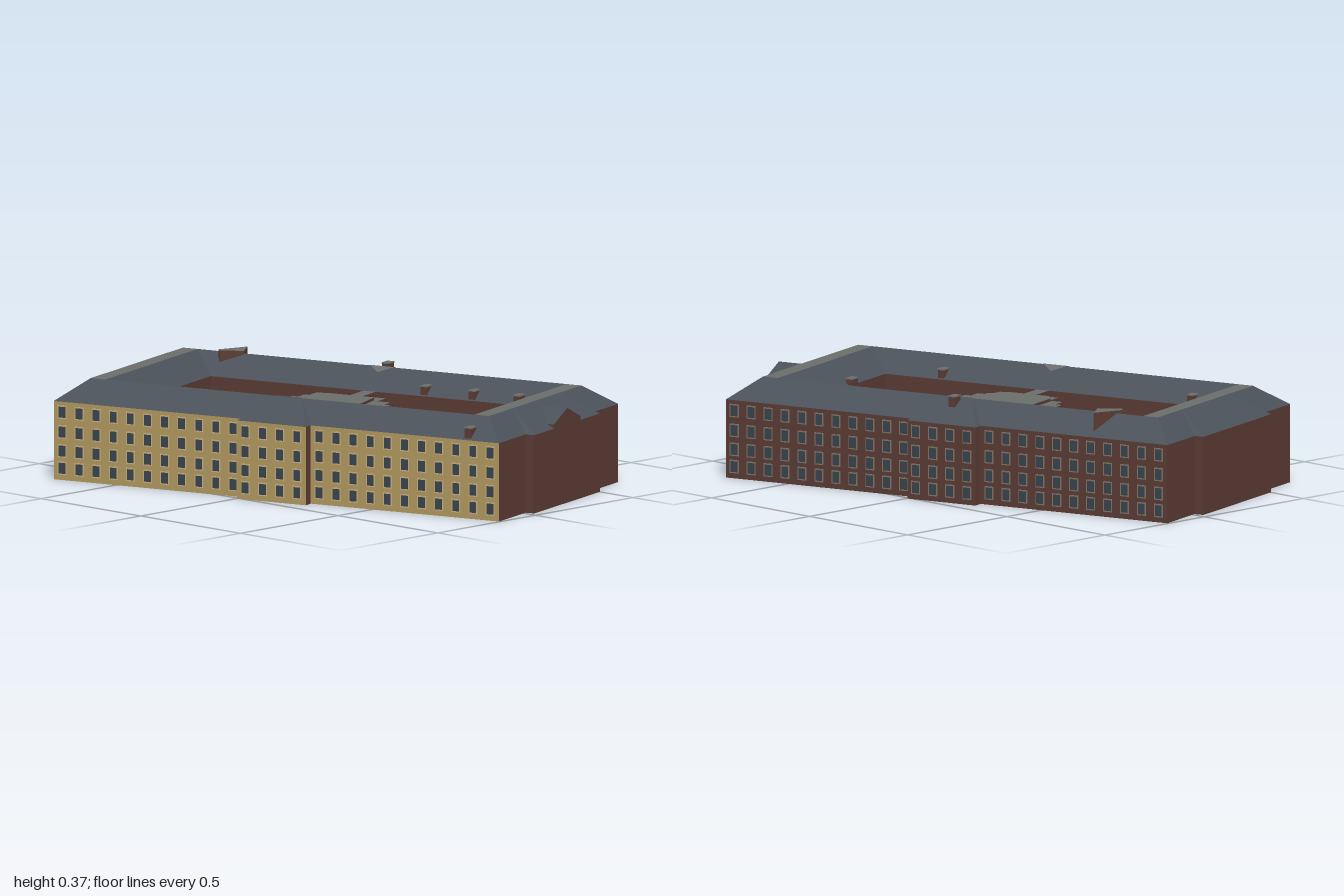
import * as THREE from 'three';
import { mergeGeometries } from 'three/addons/utils/BufferGeometryUtils.js';

const mat = (color) => new THREE.MeshStandardMaterial({ color, side: THREE.DoubleSide, flatShading: true });
const BRICK = mat(0x5a3a32), CREAM = mat(0xb0965f), SLATE = mat(0x4a5159), FLAT = mat(0x6b6d6b);
const PANE = mat(0x38434b), TRIM = mat(0xc4ae80), TRIM_DARK = mat(0x7d7466);

const EAVE = 0.285, RIDGE = 0.36;
const U = 0.905, V = 0.4525;       // outer footprint half sizes
const CU = 0.645, CV = 0.255;      // courtyard half sizes
const RV = 0.35, RU0 = 0.75, RU1 = 0.81; // ridge lines
const BU = 0.94, BV = 0.49;        // faces of the end and centre projections

// Flat polygons given as lists of [x, y, z] corners
function faces(polys) {
  const pos = [];
  for (const p of polys)
    for (let i = 1; i < p.length - 1; i++) pos.push(...p[0], ...p[i], ...p[i + 1]);
  const g = new THREE.BufferGeometry();
  g.setAttribute('position', new THREE.Float32BufferAttribute(pos, 3));
  g.computeVertexNormals();
  return g;
}

// Upright wall sheets along a plan path of [x, z]
function walls(path, top = EAVE, bottom = 0) {
  const polys = [];
  for (let i = 0; i < path.length - 1; i++) {
    const [a, b] = path[i], [c, d] = path[i + 1];
    polys.push([[a, bottom, b], [c, bottom, d], [c, top, d], [a, top, b]]);
  }
  return faces(polys);
}

// Horizontal cap over a plan outline
function cap(path, y) {
  const g = new THREE.ShapeGeometry(new THREE.Shape(path.map(([x, z]) => new THREE.Vector2(x, -z))));
  return g.rotateX(-Math.PI / 2).translate(0, y, 0);
}

export function createModel() {
  const model = new THREE.Group();
  const building = new THREE.Group();
  building.name = 'building';
  building.rotation.y = THREE.MathUtils.degToRad(16.2);
  model.add(building);
  const add = (name, geo, material) => {
    const m = new THREE.Mesh(geo, material);
    m.name = name;
    building.add(m);
    return m;
  };

  // Brick end walls with their shallow projections
  for (const s of [1, -1])
    add('endWall', walls([[s * U, V], [s * U, 0.25], [s * BU, 0.25], [s * BU, -0.25], [s * U, -0.25], [s * U, -V]]), BRICK);

  // Courtyard walls
  add('courtyardWall', walls([[-CU, -CV], [-CU, CV], [CU, CV], [CU, -0.16], [0.585, -CV], [-CU, -CV]]), BRICK);

  // Front and back facades with rows of windows
  for (const s of [1, -1]) {
    const label = s > 0 ? 'front' : 'back';
    const frames = [], panes = [];
    const bays = [[-U, -0.14, V, 11], [-0.14, 0.14, BV, 4], [0.14, U, V, 11]];
    for (const [u0, u1, v, n] of bays) {
      add(label + 'Wall', walls(s > 0 ? [[u0, v], [u1, v]] : [[u1, -v], [u0, -v]]), s > 0 ? CREAM : BRICK);
      for (let i = 0; i < n; i++) {
        const u = u0 + (u1 - u0) * (i + 0.5) / n;
        for (const y of [0.043, 0.106, 0.175, 0.247]) {
          frames.push(new THREE.BoxGeometry(0.036, 0.048, 0.005).translate(u, y, s * v));
          panes.push(new THREE.BoxGeometry(0.027, 0.039, 0.008).translate(u, y, s * v));
        }
      }
    }
    add(label + 'WindowFrames', mergeGeometries(frames), s > 0 ? TRIM : TRIM_DARK);
    add(label + 'Windows', mergeGeometries(panes), PANE);
    for (const t of [1, -1])
      add(label + 'ProjectionSide', walls([[t * 0.14, s * V], [t * 0.14, s * BV]]), BRICK);
  }

  // Ring of hipped roofs
  const roof = [], flats = [];
  for (const s of [1, -1]) {
    roof.push(
      [[-U, EAVE, s * V], [U, EAVE, s * V], [RU1, RIDGE, s * RV], [-RU1, RIDGE, s * RV]],
      [[-CU, EAVE, s * CV], [CU, EAVE, s * CV], [RU0, RIDGE, s * RV], [-RU0, RIDGE, s * RV]],
      [[s * U, EAVE, V], [s * U, EAVE, -V], [s * RU1, RIDGE, -RV], [s * RU1, RIDGE, RV]],
      [[s * CU, EAVE, CV], [s * CU, EAVE, -CV], [s * RU0, RIDGE, -RV], [s * RU0, RIDGE, RV]],
      // roofs over the end and centre projections
      [[s * BU, EAVE, 0.25], [s * BU, EAVE, -0.25], [s * RU1, RIDGE, -0.17], [s * RU1, RIDGE, 0.17]],
      [[-0.14, EAVE, s * BV], [0.14, EAVE, s * BV], [0.05, RIDGE + 0.002, s * 0.35], [-0.05, RIDGE + 0.002, s * 0.35]]);
    for (const t of [1, -1])
      roof.push(
        [[s * BU, EAVE, t * 0.25], [s * U, EAVE, t * 0.25], [s * RU1, RIDGE, t * 0.17]],
        [[t * 0.14, EAVE, s * BV], [t * 0.14, EAVE, s * V], [t * 0.05, RIDGE + 0.002, s * 0.35]]);
    flats.push(
      [[s * RU0, RIDGE, RV], [s * RU1, RIDGE, RV], [s * RU1, RIDGE, -RV], [s * RU0, RIDGE, -RV]],
      [[-0.05, RIDGE + 0.002, s * 0.35], [0.05, RIDGE + 0.002, s * 0.35], [0, RIDGE - 0.015, s * 0.315]]);
  }
  // corner of the courtyard roof over the splayed wall
  roof.push([[CU, EAVE, -CV], [CU, EAVE, -0.16], [0.585, EAVE, -CV]]);
  add('roof', faces(roof), SLATE);
  add('flatRoofs', faces(flats), FLAT);

  // Gable on the left end
  add('gableWall', faces([[[BU, EAVE, 0.1], [BU, EAVE, -0.1], [BU, 0.3, -0.1], [BU, 0.345, 0], [BU, 0.3, 0.1]]]), BRICK);
  for (const t of [1, -1]) {
    add('gableRoof', faces([[[BU, 0.3, t * 0.1], [BU, 0.345, 0], [0.836, 0.345, 0], [0.914, 0.3, t * 0.1]]]), SLATE);
    add('gableCheek', faces([[[BU, EAVE, t * 0.1], [BU, 0.3, t * 0.1], [0.914, 0.3, t * 0.1]]]), BRICK);
  }

  // Stepped pavilion in the courtyard with passages to both long wings
  const quarter = [[0.2, 0.04], [0.175, 0.04], [0.175, 0.09], [0.12, 0.09], [0.12, 0.155], [0.025, 0.155], [0.025, CV + 0.03]];
  const flip = (pts, sx, sz) => pts.map(([x, z]) => [x * sx, z * sz]);
  const outline = [...quarter, ...flip(quarter, -1, 1).reverse(), ...flip(quarter, -1, -1), ...flip(quarter, 1, -1).reverse()];
  add('pavilionWall', walls([...outline, outline[0]], EAVE), BRICK);
  add('pavilionRoof', cap(outline, EAVE), FLAT);
  const upper = [[0.12, 0.06], [0.06, 0.12], [-0.1, 0.12], [-0.13, 0.08], [-0.13, -0.1], [0.1, -0.1]];
  add('pavilionUpperWall', walls([...upper, upper[0]], 0.295, EAVE), BRICK);
  add('pavilionUpperRoof', cap(upper, 0.295), FLAT);

  // Small roof dormers and chimneys: [x, z, top]
  const stacks = [[0.217, -0.28, 0.32], [0.413, -0.28, 0.32], [0.6, -0.27, 0.32], [0.42, 0.28, 0.32],
    [-0.6, 0.285, 0.32], [0.645, 0.01, 0.31], [0.775, 0.425, 0.328], [0.005, -0.385, 0.37]];
  for (const [x, z, top] of stacks) {
    add('dormer', new THREE.BoxGeometry(0.026, top - 0.28, 0.04).translate(x, (top + 0.28) / 2, z), BRICK);
    add('dormerTop', new THREE.BoxGeometry(0.03, 0.004, 0.044).translate(x, top, z), FLAT);
  }

  // Angular roof house near the back right corner
  const hut = [[-0.655, -0.33], [-0.59, -0.43], [-0.56, -0.345], [-0.64, -0.31], [-0.66, -0.37]]
    .filter((_, i) => i < 4);
  const hutPath = hut.map(([x, z]) => [x, z]);
  add('roofHouseWall', walls([...hutPath, hutPath[0]], 0.37, 0.29), BRICK);
  add('roofHouseTop', cap(hutPath, 0.37), FLAT);

  return model;
}
